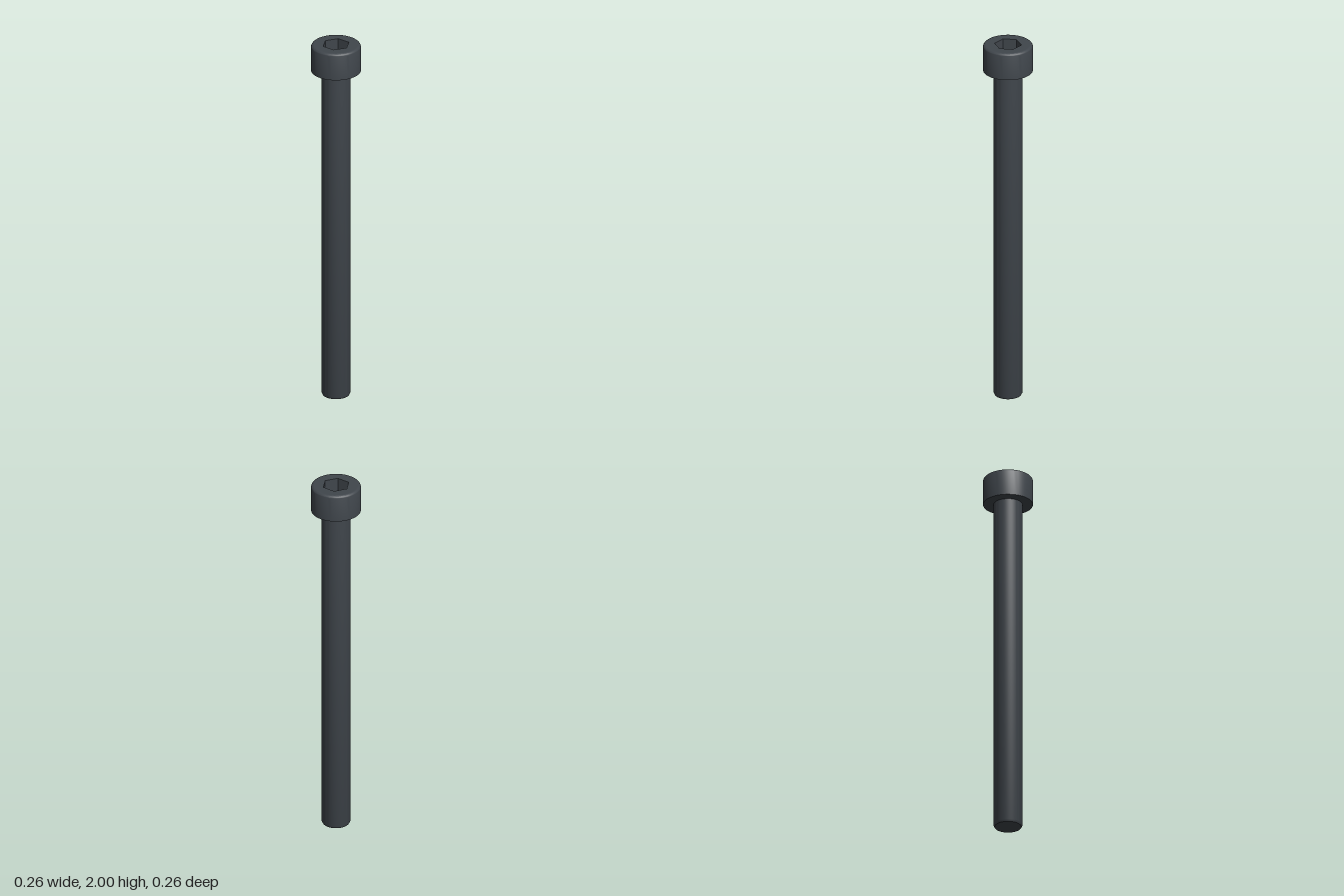
import * as THREE from 'three';
import { toCreasedNormals } from 'three/addons/utils/BufferGeometryUtils.js';

const SEGMENTS = 64;
const HEIGHT = 2, HEAD_BASE = 1.852, HEAD_R = 0.13, SHANK_R = 0.0755;
const FILLET = 0.015, HEX_R = 0.0712, HEX_DEPTH = 0.075;

export function createModel() {
  const steel = new THREE.MeshStandardMaterial({ color: 0x40464c });
  steel.name = 'dark steel';
  const model = new THREE.Group();
  model.name = 'socketHeadScrew';

  const add = (name, geometry, y = 0) => {
    const mesh = new THREE.Mesh(geometry, steel);
    mesh.name = name;
    mesh.position.y = y;
    model.add(mesh);
  };
  const turned = (points) => toCreasedNormals(
    new THREE.LatheGeometry(points.map(([r, y]) => new THREE.Vector2(r, y)), SEGMENTS), 0.5);

  // Plain shank with a small chamfer at the tip
  add('shank', turned([[SHANK_R - 0.006, 0], [SHANK_R, 0.012], [SHANK_R, HEAD_BASE]]));
  add('shankTip', new THREE.CircleGeometry(SHANK_R - 0.006, SEGMENTS).rotateX(Math.PI / 2));

  // Head: underside, wall and rounded upper edge
  const headProfile = [[SHANK_R, HEAD_BASE], [HEAD_R, HEAD_BASE]];
  for (let i = 0; i <= 6; i++) {
    const a = (i / 6) * Math.PI / 2;
    headProfile.push([HEAD_R - FILLET + FILLET * Math.cos(a), HEIGHT - FILLET + FILLET * Math.sin(a)]);
  }
  add('head', turned(headProfile));

  // Flat top face with the hexagonal opening
  const face = new THREE.Shape().absarc(0, 0, HEAD_R - FILLET, 0, Math.PI * 2);
  const corners = Array.from({ length: 6 }, (_, i) => {
    const a = Math.PI / 2 - i * Math.PI / 3;
    return new THREE.Vector2(HEX_R * Math.cos(a), HEX_R * Math.sin(a));
  });
  face.holes.push(new THREE.Path(corners));
  add('headTop', new THREE.ShapeGeometry(face, SEGMENTS).rotateX(-Math.PI / 2), HEIGHT);

  // Hex socket: walls turned inside out, plus floor
  const walls = new THREE.CylinderGeometry(HEX_R, HEX_R, HEX_DEPTH, 6, 1, true)
    .scale(-1, 1, 1).toNonIndexed();
  walls.computeVertexNormals();
  add('socketWalls', walls, HEIGHT - HEX_DEPTH / 2);
  add('socketFloor', new THREE.CircleGeometry(HEX_R, 6, Math.PI / 2).rotateX(-Math.PI / 2), HEIGHT - HEX_DEPTH);

  return model;
}
